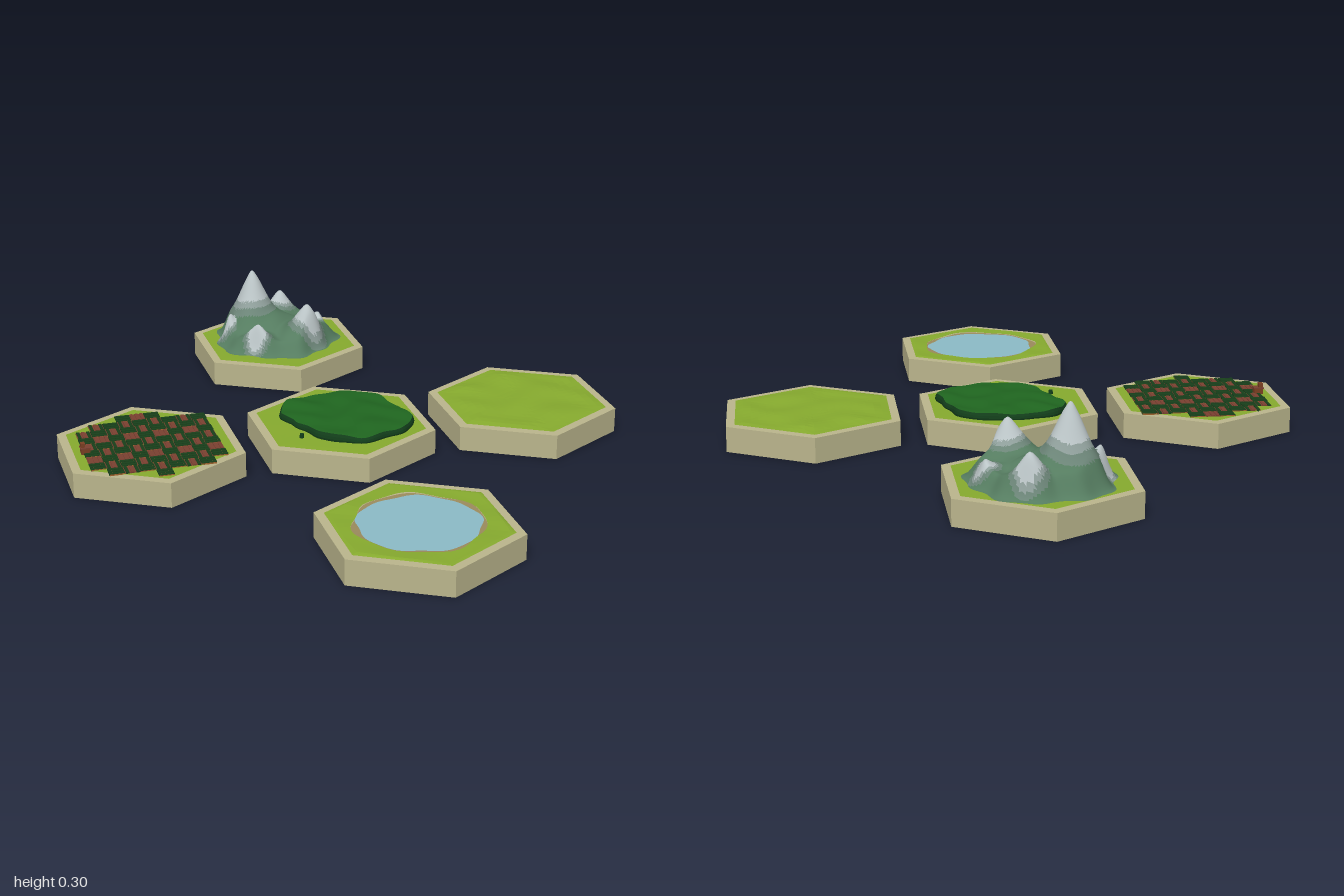
import * as THREE from 'three';

const TOP = 0.074, R = 0.285, GRASS_R = 0.257;
const mat = (color, flat = true) =>
  new THREE.MeshStandardMaterial({ color, flatShading: flat, roughness: 0.9 });
const stone = mat(0xbab58c), grass = mat(0x86aa2e), water = mat(0x8bbac6), shore = mat(0x9a8a5c);
const leaves = mat(0x1f651f, false), undergrowth = mat(0x123d1a);
const soil = mat(0xa0622c), crop = mat(0x173f1a), redSoil = mat(0x7a4030), wood = mat(0x7a3f22);

function named(name, geometry, material) {
  const m = new THREE.Mesh(geometry, material);
  m.name = name;
  return m;
}

// Radius of a hexagon (corner on +z) in direction a
function hexRadius(a, r) {
  const k = Math.PI / 3, t = ((a % k) + k) % k;
  return r * Math.cos(k / 2) / Math.cos(t - k / 2);
}

// Disc or ring of concentric loops: point(u, a) gives [radius, y], u runs 0..1 outwards
function discGeometry(segs, rings, point) {
  const pos = [], idx = [];
  for (let i = 0; i <= rings; i++) for (let j = 0; j < segs; j++) {
    const a = j / segs * Math.PI * 2, [r, y] = point(i / rings, a);
    pos.push(Math.sin(a) * r, y, Math.cos(a) * r);
  }
  for (let i = 0; i < rings; i++) for (let j = 0; j < segs; j++) {
    const a = i * segs + j, b = i * segs + (j + 1) % segs;
    idx.push(a, a + segs, b + segs, a, b + segs, b);
  }
  const g = new THREE.BufferGeometry();
  g.setAttribute('position', new THREE.Float32BufferAttribute(pos, 3));
  g.setIndex(idx);
  g.computeVertexNormals();
  return g;
}

const ripple = (x, z) =>
  0.5 + 0.25 * Math.sin(x * 31 + Math.sin(z * 23)) + 0.25 * Math.cos(z * 37 + 2 * Math.sin(x * 19));

// Hexagonal stone base with a grass surface; hole(a) leaves an opening in the grass
function makeTile(name, x, z, bump = 0.001, hole = () => 0) {
  const tile = new THREE.Group();
  tile.name = name;
  tile.position.set(x, 0, z);
  const base = named('stoneBase', new THREE.CylinderGeometry(R, R, TOP, 6), stone);
  base.position.y = TOP / 2;
  const g = discGeometry(48, 10, (u, a) => {
    const r = THREE.MathUtils.lerp(hole(a), hexRadius(a, GRASS_R), u);
    const lift = bump * Math.min(1, (1 - u) * 6) * ripple(Math.sin(a) * r, Math.cos(a) * r);
    return [r, TOP + 0.0015 + lift];
  });
  tile.add(base, named('grass', g, grass));
  return tile;
}

// Mountain: one height field split into colour bands
function makeMountains() {
  const tile = makeTile('mountainTile', 0, -0.715);
  const peaks = [ // x, z, height, width
    [-0.065, -0.07, 0.222, 0.062], [0.078, 0.082, 0.135, 0.05], [-0.155, -0.035, 0.08, 0.036],
    [0.05, -0.15, 0.1, 0.042], [-0.09, 0.095, 0.075, 0.038], [0.15, -0.04, 0.045, 0.035]];
  const peakAt = (x, z) => peaks.reduce((best, [px, pz, h, w]) => {
    const f = Math.exp(-Math.pow(Math.hypot(x - px, z - pz) / w, 1.6));
    return h * f > best[0] ? [h * f, f] : best;
  }, [0, 0]);
  const cz = -0.02;
  const g = discGeometry(120, 48, (u, a) => {
    const edge = 0.198 + 0.008 * Math.sin(a * 5 + 1) + 0.006 * Math.sin(a * 11);
    const r = u * edge, x = Math.sin(a) * r, z = Math.cos(a) * r + cz;
    const s = THREE.MathUtils.smoothstep(1 - u, 0, 0.25);
    const hills = 0.026 + 0.025 * Math.exp(-Math.pow(r / 0.12, 2)) + 0.012 * ripple(x * 1.5, z * 1.5);
    const ph = peakAt(x, z)[0];
    return [r, TOP + 0.002 + s * Math.max(ph, 0.75 * ph + hills)];
  });
  const p = g.attributes.position, index = g.index.array;
  const bands = [['lowerSlopes', 0x557c60], ['rockySlopes', 0x6c8578], ['snowLine', 0x8f9f9b], ['snowCaps', 0xbcc6c8]];
  const lists = bands.map(() => []);
  for (let i = 0; i < index.length; i += 3) {
    const t = [index[i], index[i + 1], index[i + 2]];
    const x = t.reduce((s, k) => s + p.getX(k), 0) / 3, z = t.reduce((s, k) => s + p.getZ(k), 0) / 3;
    const f = peakAt(x, z + cz)[1];
    lists[f > 0.5 ? 3 : f > 0.38 ? 2 : f > 0.24 ? 1 : 0].push(...t);
  }
  bands.forEach(([name, color], k) => {
    const part = g.clone();
    part.setIndex(lists[k]);
    const m = named(name, part.toNonIndexed(), mat(color, false));
    m.position.z = cz;
    tile.add(m);
  });
  return tile;
}

// Forest: raised canopy with an irregular outline, given as radii around the centre
function makeForest() {
  const tile = makeTile('forestTile', 0, 0);
  const radii = [0.183, 0.175, 0.193, 0.197, 0.17, 0.165, 0.185, 0.185,
    0.183, 0.19, 0.213, 0.202, 0.165, 0.15, 0.163, 0.168];
  const outline = a => {
    const t = a / (Math.PI * 2) * 16, i = Math.floor(t), f = t - i;
    const w = f * f * (3 - 2 * f);
    return radii[i % 16] * (1 - w) + radii[(i + 1) % 16] * w;
  };
  const canopy = discGeometry(96, 16, (u, a) => {
    const r = u * (outline(a) - 0.005), x = Math.sin(a) * r, z = Math.cos(a) * r;
    return [r, 0.093 + 0.009 * ripple(x * 1.4, z * 1.4) - 0.003 * u ** 8];
  });
  const side = discGeometry(96, 3, (u, a) => {
    const r = outline(a) - 0.005;
    const y = 0.09 + 0.009 * ripple(Math.sin(a) * r * 1.4, Math.cos(a) * r * 1.4);
    return [r + 0.006 * Math.sin(u * Math.PI * 0.75), THREE.MathUtils.lerp(y, TOP, u)];
  });
  const forest = new THREE.Group();
  forest.name = 'forest';
  forest.position.x = 0.021;
  forest.add(named('canopy', canopy, leaves), named('forestEdge', side, undergrowth));
  const stump = named('stump', new THREE.CylinderGeometry(0.006, 0.007, 0.014, 8), undergrowth);
  stump.position.set(-0.143, TOP + 0.007, 0.088);
  tile.add(forest, stump);
  return tile;
}

// Farm: woven patchwork of furrowed plots and a small shed
function makeFarm() {
  const tile = makeTile('farmTile', -0.57, 0);
  const box = (name, w, h, d, x, y, z, m) => {
    const b = named(name, new THREE.BoxGeometry(w, h, d), m);
    b.position.set(x, y + h / 2, z);
    tile.add(b);
  };
  const c = 0.0435;
  const rows = [[-1.5, 1.5], [-3.5, 4.5], [-4.5, 4.5], [-4.5, 4.5], [-4.5, 4.5], [-4.5, 4.5],
    [-4.5, 4.5], [-4.5, 4.5], [-3.5, 3.5], [-0.5, 0.5]];
  rows.forEach(([from, to], r) => {
    const z = -0.194 + r * 0.0455;
    for (let k = from; k < to; k++) {
      const x = (k + 0.5) * c, across = (r + Math.round(k + 9)) % 2 === 0;
      box('plot', c * 0.97, 0.004, c * 0.95, x, TOP, z, across ? soil : redSoil);
      for (let s = -1; s <= 1; s++) {
        const o = s * 0.0145;
        if (across) box('cropRow', c, 0.006, 0.010, x, TOP, z + o, crop);
        else box('furrow', 0.009, 0.006, c, x + o, TOP, z, s === 0 || r % 3 === 0 ? redSoil : crop);
      }
    }
  });
  box('shed', 0.026, 0.018, 0.022, -0.19, TOP, 0.018, wood);
  box('shedTower', 0.012, 0.034, 0.016, -0.197, TOP, 0.018, wood);
  box('shedRoof', 0.03, 0.004, 0.026, -0.19, TOP + 0.018, 0.018, redSoil);
  return tile;
}

// Lake: grass opening, sloping shore and flat water
function makeLake() {
  const bank = a => 0.177 + 0.005 * Math.sin(a * 7) + 0.005 * Math.sin(a * 4 + 1);
  const edge = a => 0.167 + 0.003 * Math.sin(a * 9 + 1) + 0.004 * Math.sin(a * 5);
  const tile = makeTile('lakeTile', 0, 0.715, 0.004, bank);
  tile.add(
    named('shore', discGeometry(96, 2, (u, a) =>
      [THREE.MathUtils.lerp(edge(a), bank(a), u), TOP + 0.0006 + 0.001 * u]), shore),
    named('water', discGeometry(96, 2, (u, a) => [u * edge(a), TOP + 0.0006]), water));
  return tile;
}

export function createModel() {
  const model = new THREE.Group();
  model.name = 'terrainTiles';
  model.add(makeMountains(), makeForest(), makeFarm(), makeLake(),
    makeTile('meadowTile', 0.57, 0, 0.008));
  return model;
}
